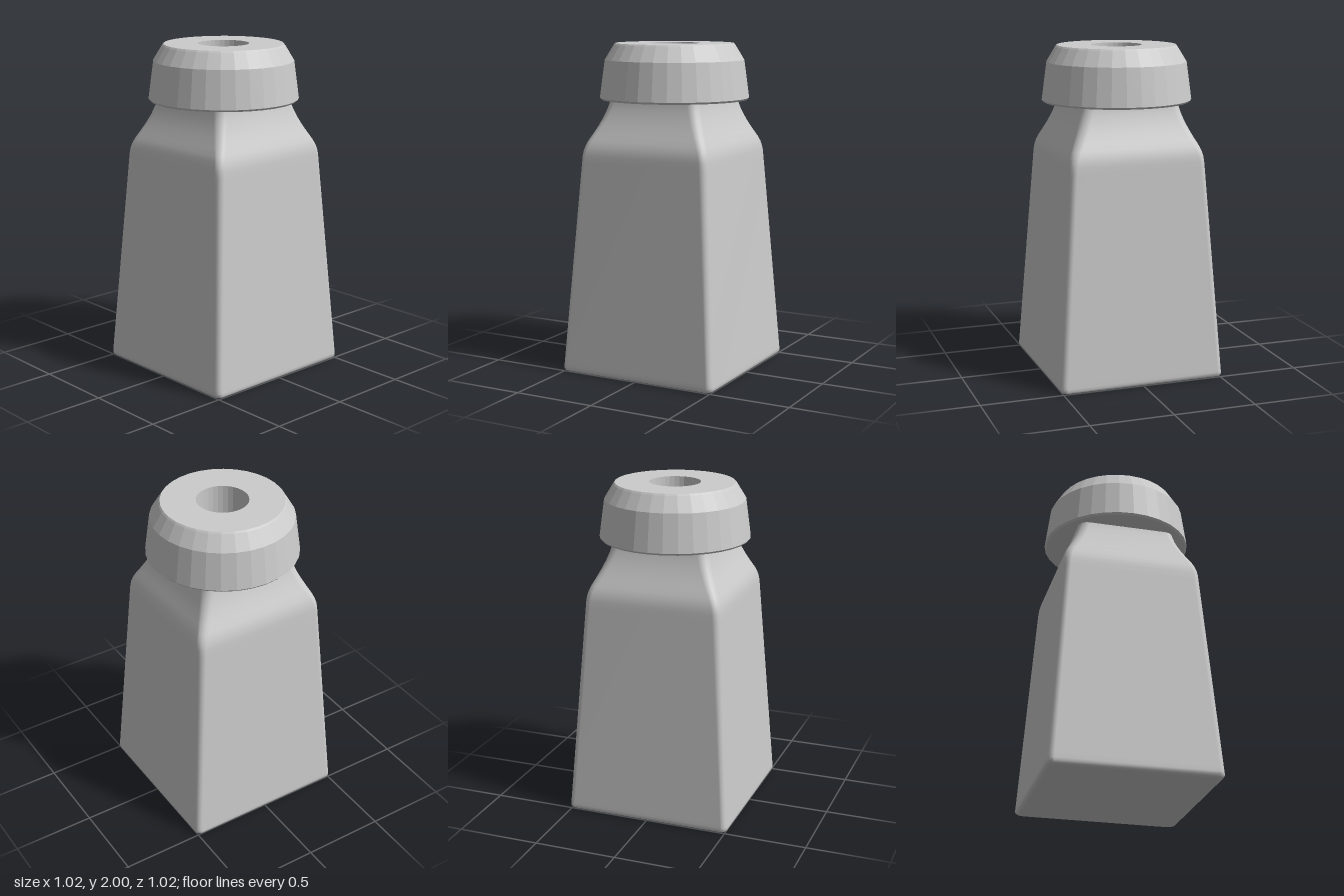
import * as THREE from 'three';

const CORNER_STEPS = 4;

// Outline of a rounded square at height y, running from +x towards -z
function ring(y, half, radius) {
  const pts = [];
  for (let c = 0; c < 4; c++) {
    for (let i = 0; i <= CORNER_STEPS; i++) {
      const a = (c + i / CORNER_STEPS) * Math.PI / 2;
      const mid = (c + 0.5) * Math.PI / 2;
      const d = (half - radius) * Math.SQRT2;
      pts.push([
        d * Math.cos(mid) + radius * Math.cos(a), y,
        -d * Math.sin(mid) - radius * Math.sin(a),
      ]);
    }
  }
  return pts;
}

// Smooth skin through the stacked sections, closed at both ends
function loft(sections) {
  const rings = sections.map((s) => ring(...s));
  const n = rings[0].length;
  const pos = rings.flat(2);
  const index = [];
  for (let r = 0; r < rings.length - 1; r++) {
    for (let i = 0; i < n; i++) {
      const j = (i + 1) % n;
      const a = r * n + i, b = r * n + j;
      index.push(a, b, b + n, a, b + n, a + n);
    }
  }
  // Separate end caps keep the rims crisp
  for (const [end, up] of [[rings[0], false], [rings[rings.length - 1], true]]) {
    const base = pos.length / 3;
    pos.push(...end.flat(), 0, end[0][1], 0);
    for (let i = 0; i < n; i++) {
      const a = base + i, b = base + (i + 1) % n;
      index.push(base + n, up ? a : b, up ? b : a);
    }
  }
  const geo = new THREE.BufferGeometry();
  geo.setAttribute('position', new THREE.Float32BufferAttribute(pos, 3));
  geo.setIndex(index);
  geo.computeVertexNormals();
  return geo;
}

export function createModel() {
  const group = new THREE.Group();
  group.name = 'shaker';

  // Tapering square bottle: height, half width, corner radius
  const body = new THREE.Mesh(
    loft([
      [0, 0.49, 0.03], [0.006, 0.503, 0.033], [0.018, 0.511, 0.035], [0.035, 0.511, 0.035],
      [0.06, 0.509, 0.035], [1.29, 0.423, 0.04], [1.33, 0.42, 0.04], [1.36, 0.416, 0.042],
      [1.39, 0.408, 0.044], [1.42, 0.396, 0.046], [1.46, 0.376, 0.05], [1.51, 0.352, 0.053],
      [1.56, 0.331, 0.056], [1.61, 0.314, 0.058], [1.65, 0.304, 0.06], [1.68, 0.3, 0.06],
    ]),
    new THREE.MeshStandardMaterial({ color: 0xcccccc }),
  );
  body.name = 'bottle';
  group.add(body);

  // Faceted cap with a round recess in its top
  const profile = [
    [0, 1.66], [0.445, 1.66], [0.456, 1.672], [0.425, 1.9],
    [0.37, 1.99], [0.362, 2], [0.154, 2], [0.154, 1.7], [0, 1.7],
  ].map(([x, y]) => new THREE.Vector2(x, y));
  const cap = new THREE.Mesh(
    new THREE.LatheGeometry(profile, 32),
    new THREE.MeshStandardMaterial({ color: 0xcccccc, flatShading: true }),
  );
  cap.name = 'cap';
  group.add(cap);

  return group;
}
